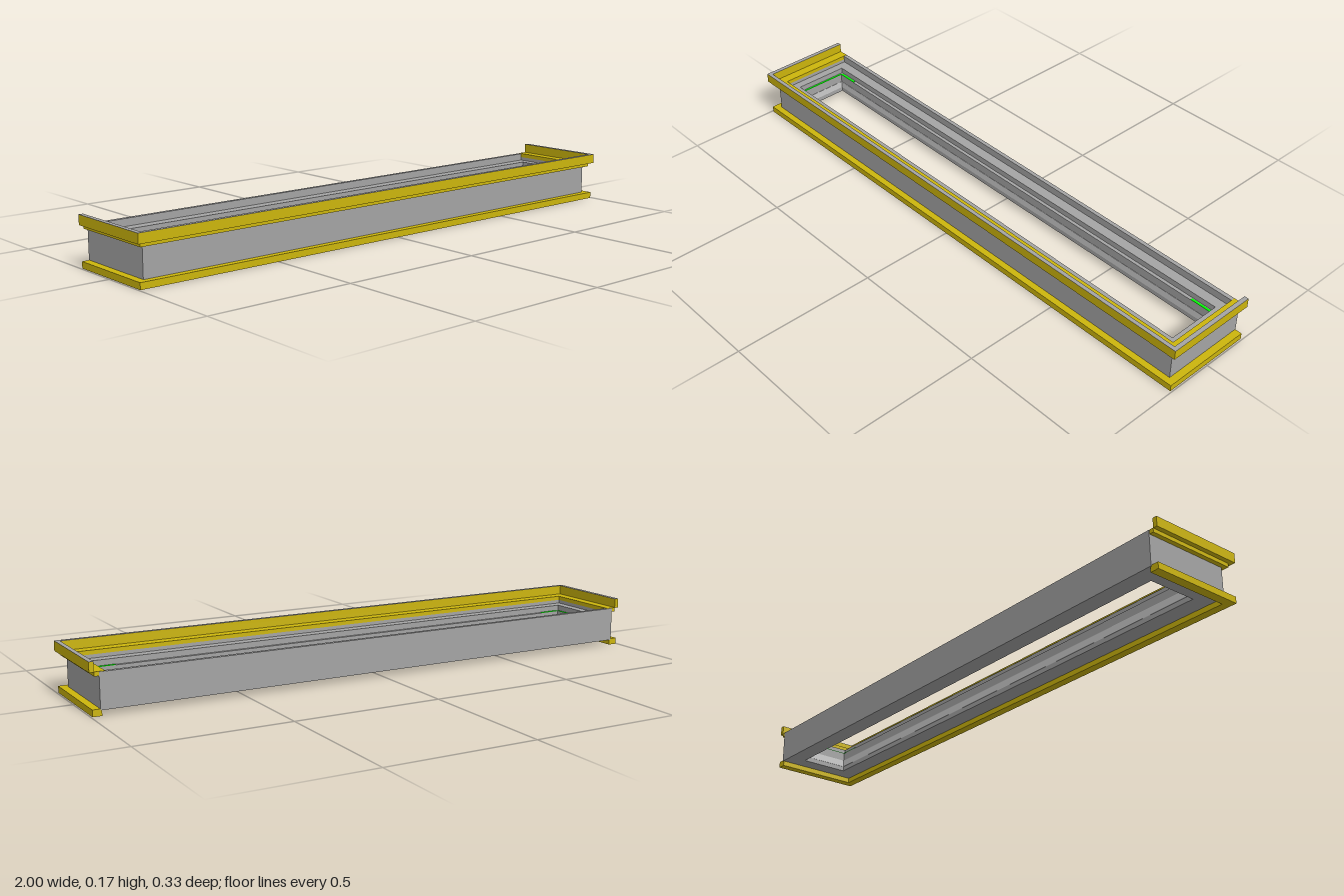
import * as THREE from 'three';

const BACK = -0.165; // where the three-sided trim stops
const material = (color) => new THREE.MeshStandardMaterial({ color, flatShading: true });

// Rectangle points in plan; plan y is -z so that extrusion runs upward
function rect(x, zBack, zFront) {
  return [[-x, -zFront], [x, -zFront], [x, -zBack], [-x, -zBack]].map(([a, b]) => new THREE.Vector2(a, b));
}

function extrudeUp(name, shape, y0, y1, mat) {
  const geo = new THREE.ExtrudeGeometry(shape, { depth: y1 - y0, bevelEnabled: false });
  geo.rotateX(-Math.PI / 2).translate(0, y0, 0);
  const mesh = new THREE.Mesh(geo, mat);
  mesh.name = name;
  return mesh;
}

// Closed rectangular ring; outer and inner are [halfWidth, zBack, zFront]
function ring(name, outer, inner, y0, y1, mat) {
  const shape = new THREE.Shape(rect(...outer));
  shape.holes.push(new THREE.Path(rect(...inner)));
  return extrudeUp(name, shape, y0, y1, mat);
}

// Three-sided trim, open at the back; outer and inner are [halfWidth, zFront]
function trim(name, [xo, zo], [xi, zi], y0, y1, mat) {
  const points = [[-xo, -BACK], [-xo, -zo], [xo, -zo], [xo, -BACK], [xi, -BACK], [xi, -zi], [-xi, -zi], [-xi, -BACK]];
  return extrudeUp(name, new THREE.Shape(points.map(([a, b]) => new THREE.Vector2(a, b))), y0, y1, mat);
}

function box(name, [w, h, d], [x, y, z], mat) {
  const mesh = new THREE.Mesh(new THREE.BoxGeometry(w, h, d), mat);
  mesh.name = name;
  mesh.position.set(x, y, z);
  return mesh;
}

export function createModel() {
  const group = new THREE.Group();
  const grey = material(0xa4a4a4);
  const paleGrey = material(0xcccccc);
  const gold = material(0xccb50c);
  const green = material(0x00ff00);

  // Hollow body, raised above the base trim and stepping inward to the opening
  group.add(
    ring('outerWall', [0.97, -0.167, 0.139], [0.95, -0.153, 0.115], 0.018, 0.122, grey),
    ring('innerStep', [0.95, -0.153, 0.115], [0.92, -0.117, 0.08], 0.018, 0.11, grey),
    ring('openingLiner', [0.92, -0.117, 0.08], [0.91, -0.105, 0.07], 0.018, 0.09, grey),
    ring('linerBand', [0.911, -0.106, 0.071], [0.909, -0.104, 0.069], 0.035, 0.06, paleGrey),
    box('backRail', [1.94, 0.013, 0.014], [0, 0.1285, -0.16], grey),
  );

  // Trim around the front and both ends
  group.add(
    trim('baseTrim', [0.995, 0.162], [0.965, 0.133], 0, 0.022, gold),
    trim('ledgeTrim', [0.985, 0.153], [0.95, 0.115], 0.122, 0.136, gold),
    trim('upperLip', [1, 0.167], [0.985, 0.153], 0.135, 0.167, gold),
    trim('lipCap', [1, 0.167], [0.985, 0.153], 0.167, 0.168, grey),
  );

  // Thin strips lying on the liner, at its ends and corners
  for (const side of [-1, 1]) {
    group.add(box('endStrip', [0.006, 0.002, 0.175], [side * 0.913, 0.091, -0.0175], green));
    for (const z of [-0.109, 0.073]) {
      group.add(box('cornerStrip', [0.075, 0.002, 0.008], [side * 0.8725, 0.091, z], green));
    }
  }
  return group;
}
